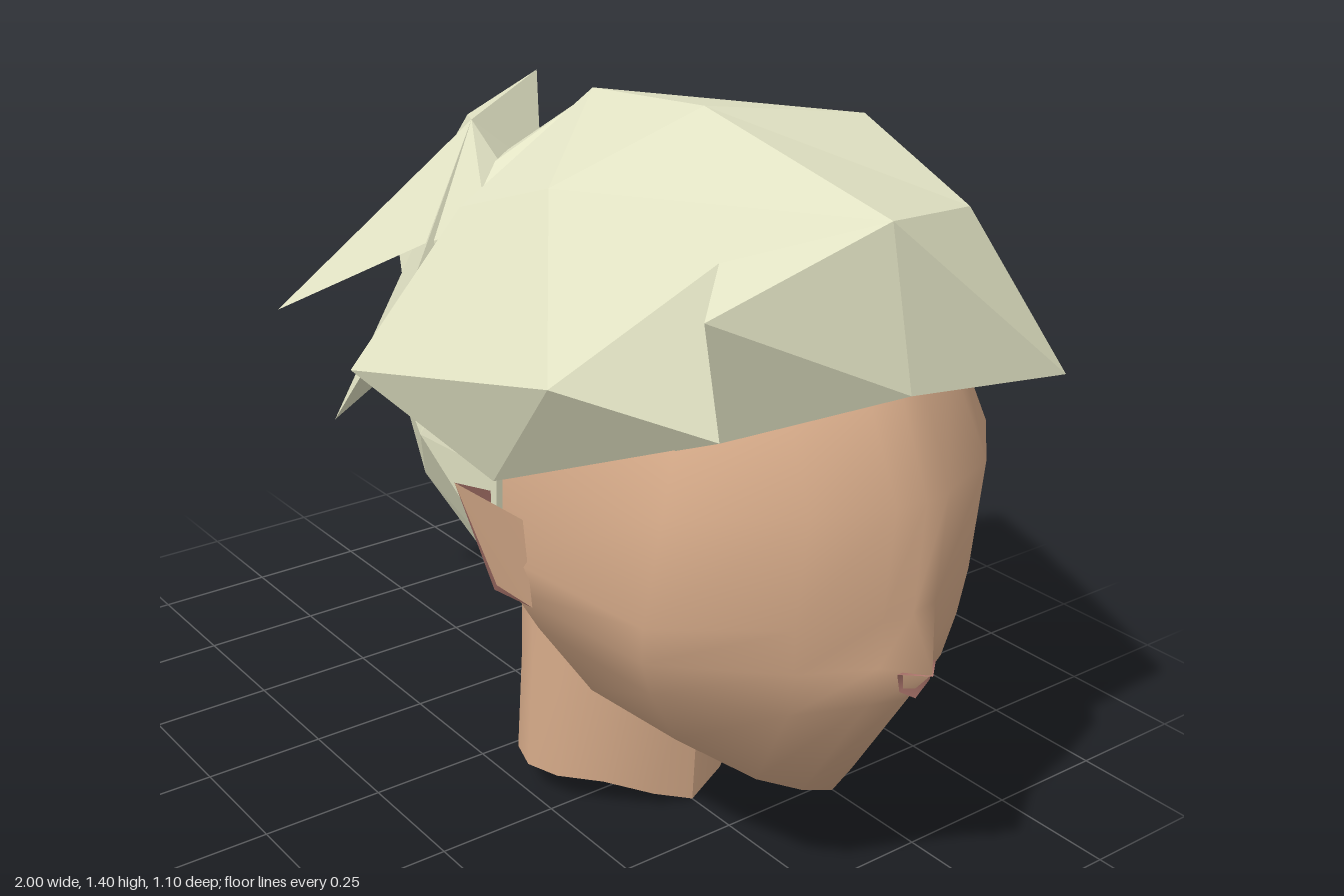
import * as THREE from 'three';
import { ConvexGeometry } from 'three/addons/geometries/ConvexGeometry.js';

const make = (name, color, flatShading) => {
  const m = new THREE.MeshStandardMaterial({ color, side: THREE.DoubleSide, flatShading });
  m.name = name;
  return m;
};

// Indexed geometry from corner points and polygons (fanned into triangles)
function polys(points, faces) {
  const index = [];
  for (const f of faces) for (let i = 1; i < f.length - 1; i++) index.push(f[0], f[i], f[i + 1]);
  const g = new THREE.BufferGeometry();
  g.setAttribute('position', new THREE.Float32BufferAttribute(points.flat(), 3));
  g.setIndex(index);
  g.computeVertexNormals();
  return g;
}

// Smooth surface through equal-length rows of points
function loft(rows) {
  const n = rows[0].length, faces = [];
  for (let r = 0; r < rows.length - 1; r++)
    for (let c = 0; c < n - 1; c++) {
      const a = r * n + c;
      faces.push([a, a + n, a + n + 1, a + 1]);
    }
  return polys(rows.flat(), faces);
}

const flipZ = ([x, y, z]) => [x, y, -z];
const mirrorRow = half => [...half.slice(1).reverse().map(flipZ), ...half];
const hull = pts => new ConvexGeometry(pts.map(p => new THREE.Vector3(...p)));
const bothSides = pts => pts.flatMap(p => (p[2] ? [p, flipZ(p)] : [p]));

export function createModel() {
  const model = new THREE.Group();
  const hair = make('pale hair', 0xe3e4c5, true);
  const skin = make('skin', 0xd9ad8b, false);
  const pink = make('dusky pink', 0xbb8076, false);
  const add = (name, geometry, material) => {
    const mesh = new THREE.Mesh(geometry, material);
    mesh.name = name;
    model.add(mesh);
  };

  // Face: rows from crown to jaw, each from the centre line to the side
  const face = [
    [[0.76, 1.22, 0], [0.755, 1.215, 0.06], [0.72, 1.2, 0.14], [0.62, 1.17, 0.25], [0.32, 1.12, 0.36], [0.22, 1.1, 0.3]],
    [[0.875, 1.06, 0], [0.865, 1.055, 0.06], [0.815, 1.04, 0.18], [0.71, 1.0, 0.315], [0.35, 0.95, 0.415], [0.22, 0.9, 0.3]],
    [[0.96, 0.87, 0], [0.952, 0.87, 0.06], [0.9, 0.87, 0.2], [0.74, 0.85, 0.37], [0.37, 0.82, 0.43], [0.22, 0.8, 0.3]],
    [[0.948, 0.66, 0], [0.938, 0.66, 0.06], [0.88, 0.66, 0.2], [0.7, 0.64, 0.375], [0.37, 0.66, 0.435], [0.22, 0.6, 0.3]],
    [[1, 0.57, 0], [0.935, 0.57, 0.06], [0.87, 0.57, 0.19], [0.68, 0.56, 0.36], [0.37, 0.58, 0.41], [0.22, 0.55, 0.28]],
    [[0.935, 0.49, 0], [0.915, 0.49, 0.06], [0.85, 0.48, 0.18], [0.66, 0.48, 0.325], [0.38, 0.5, 0.365], [0.22, 0.48, 0.2]],
    [[0.78, 0.23, 0], [0.765, 0.245, 0.06], [0.72, 0.27, 0.13], [0.59, 0.315, 0.21], [0.42, 0.36, 0.275], [0.24, 0.37, 0.15]],
  ];
  // Jaw underside and the pointed patch below it on the throat
  const jaw = [
    face[6],
    [[0.42, 0.245, 0], [0.41, 0.25, 0.05], [0.395, 0.265, 0.09], [0.375, 0.3, 0.16], [0.38, 0.35, 0.24], [0.22, 0.36, 0.15]],
    [[0.398, 0.135, 0], [0.39, 0.17, 0.045], [0.38, 0.21, 0.09], [0.35, 0.28, 0.16], [0.36, 0.345, 0.225], [0.2, 0.355, 0.15]],
  ];
  // One smooth surface, coloured in two groups
  const headRows = [...face, ...jaw.slice(1)].map(mirrorRow);
  const head = loft(headRows);
  const perRow = (headRows[0].length - 1) * 6, split = perRow * (face.length - 1);
  head.addGroup(0, split, 0);
  head.addGroup(split, perRow * (jaw.length - 1), 1);
  add('faceAndJaw', head, [skin, pink]);

  // Nose underside
  add('noseUnderside', polys(
    [[1.002, 0.566, 0], [0.964, 0.567, 0.045], [0.962, 0.53, 0.035], [0.966, 0.508, 0],
      [0.962, 0.53, -0.035], [0.964, 0.567, -0.045]],
    [[0, 1, 2, 3, 4, 5]].map(f => [...f].reverse())), pink);

  // Neck, open below, with a pointed front at the base
  const neckRing = (y, back, front, drop) => Array.from({ length: 17 }, (_, i) => {
    const a = (i / 16) * Math.PI * 2, c = Math.cos(a), s = Math.sin(a);
    const z = 0.255 * Math.sign(s) * Math.abs(s) ** 1.15;
    return [(back + front) / 2 + (front - back) / 2 * Math.sign(c) * Math.abs(c) ** 1.15,
      c > 0 ? y - drop * Math.max(0, 1 - Math.abs(z) / 0.17) : y, z];
  });
  add('neck', loft([neckRing(0.55, 0, 0.4, 0), neckRing(0.3, -0.01, 0.4, 0),
    neckRing(0.07, -0.03, 0.385, 0.068)]), skin);

  // Pointed ears: skin in front, pink behind and below
  for (const [side, tipZ] of [[1, 0.51], [-1, 0.545]]) {
    const ear = [[0.34, 0.81, tipZ], [0.445, 0.76, 0.44], [0.42, 0.57, 0.405], [0.36, 0.6, 0.44],
      [0.29, 0.55, 0.4], [0.33, 0.77, 0.43]].map(([x, y, z]) => [x, y, z * side]);
    const name = side > 0 ? 'leftEar' : 'rightEar';
    add(name, polys(ear, [[0, 1, 2, 3]]), skin);
    add(name + 'Rim', polys(ear, [[0, 3, 4, 5], [3, 2, 4]]), pink);
  }

  // Back of the hair
  add('hairBack', hull([...bothSides([
    [0.3, 1.36, 0], [0.04, 1.37, 0], [0.04, 1.27, 0.22], [-0.1, 1.245, 0.1],
    [-0.24, 1.05, 0.05], [-0.26, 0.96, 0.05], [-0.1, 0.84, 0.36], [-0.17, 0.65, 0.09],
    [-0.06, 0.64, 0.33], [0.09, 0.47, 0.25], [0.28, 0.54, 0.36], [0.33, 0.64, 0.42],
    [0.35, 0.81, 0.43], [0.12, 0.81, 0.445], [0.14, 1.18, 0.36], [0.34, 1.15, 0.4],
  ]), [-0.1, 0.88, -0.4], [0.14, 0.95, -0.44]]), hair);

  // Swept top hair and fringe: shared ridge, then each side hangs differently
  const ridge = [[0.37, 1.405, 0], [0.04, 1.378, 0], [0.845, 1.31, 0], [0.91, 1.035, 0]];
  const sides = {
    left: [[0.37, 1.31, 0.33], [0.155, 1.235, 0.37], [0.745, 1.265, 0.27], [0.84, 1.215, 0.375],
      [0.8, 0.99, 0.305], [0.58, 1.05, 0.48], [0.06, 0.94, 0.55], [0.355, 0.8, 0.44], [0.17, 0.81, 0.43]],
    right: [[0.37, 1.34, -0.385], [0.12, 1.3, -0.375], [0.745, 1.265, -0.28], [0.865, 0.965, -0.425],
      [0.8, 0.985, -0.32], [0.57, 1.1, -0.47], [0.16, 1.205, -0.55], [0.35, 0.82, -0.435], [0.2, 1.0, -0.42]],
  };
  const sheet = [[1, 0, 4], [1, 4, 5], [0, 2, 6, 4], [2, 3, 7], [3, 8, 7], [2, 7, 6], [6, 7, 8],
    [6, 8, 9], [4, 6, 9], [4, 9, 10], [4, 10, 5], [10, 9, 11], [9, 8, 11], [10, 11, 12]];
  for (const [side, pts] of Object.entries(sides)) {
    const faces = side === 'left' ? sheet.map(f => [...f].reverse()) : sheet;
    add(side + 'TopHair', polys([...ridge, ...pts], faces), hair);
  }

  // Ponytail: a flared knot and four spiky strands
  const top = [-0.385, 1.235, 0], bottom = [-0.32, 0.88, 0.03];
  const sideR = [-0.38, 1.1, -0.17], sideL = [-0.36, 1.0, 0.13], core = [-0.59, 1.03, 0];
  const tail = {
    knot: [[-0.24, 1.05, 0.06], [-0.24, 1.05, -0.06], [-0.24, 0.96, 0.06], [-0.24, 0.96, -0.06],
      top, bottom, sideR, sideL],
    upperStrand: [top, sideR, core, [-0.59, 1.19, -0.12], [-0.555, 1.275, -0.28]],
    longStrand: [sideR, [-0.6, 1.0, -0.17], [-0.66, 0.93, -0.17], [-0.68, 0.755, 0], [-0.42, 1.0, 0],
      [-1, 0.795, -0.17]],
    lowerStrand: [top, bottom, [-0.33, 0.9, 0.2], [-0.64, 0.82, 0], [-0.67, 0.52, 0.2]],
    outerStrand: [top, sideL, core, [-0.69, 0.86, 0.08], [-0.66, 0.81, 0.33]],
  };
  for (const [name, pts] of Object.entries(tail)) add(name, hull(pts), hair);

  return model;
}
